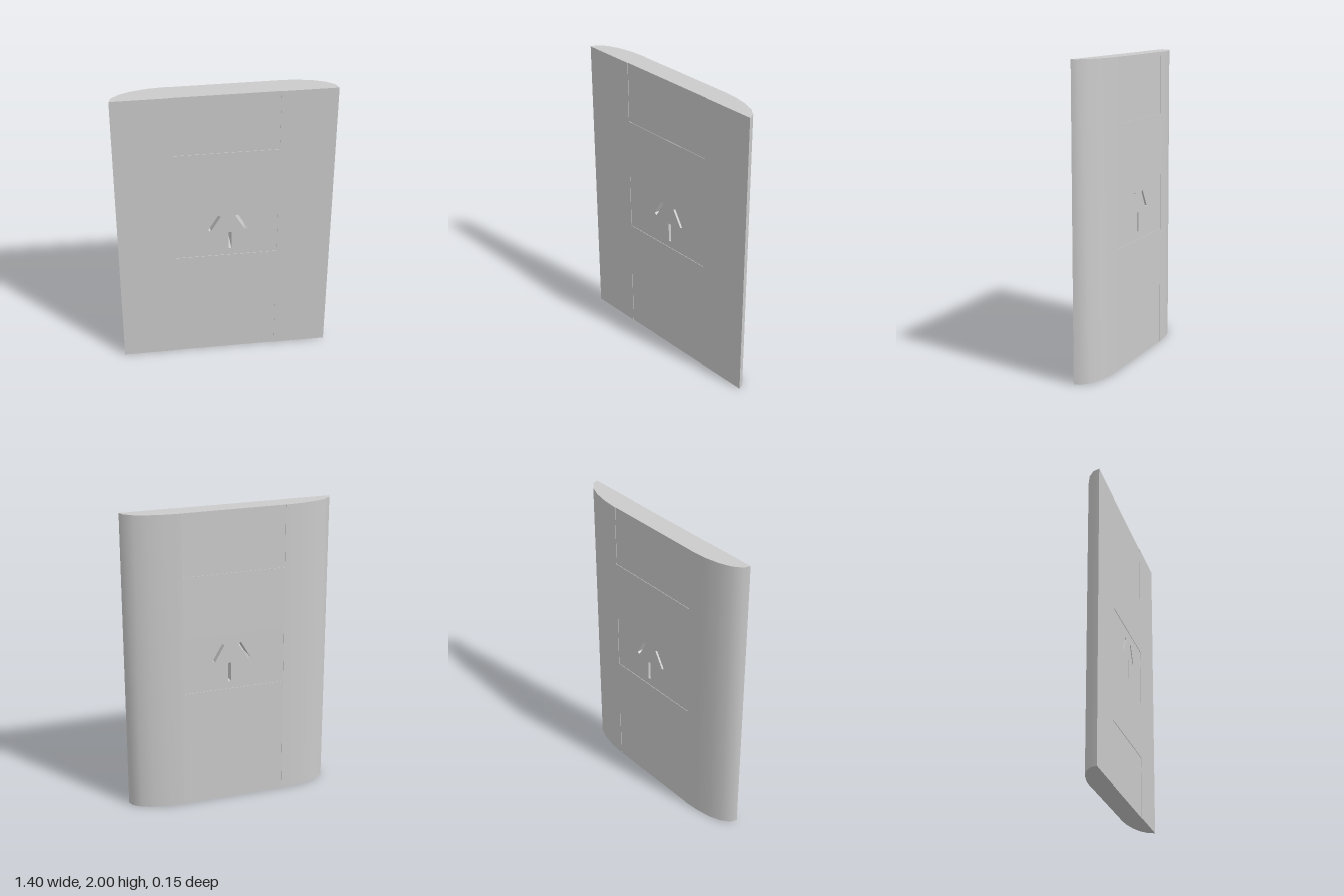
import * as THREE from 'three';
import { toCreasedNormals } from 'three/addons/utils/BufferGeometryUtils.js';

const HEIGHT = 2, HALF = 0.345, FRONT = 0.067, BACK = -0.075;
const material = new THREE.MeshStandardMaterial({ color: 0xcccccc, side: THREE.DoubleSide });

// Rounded side rail: [x, z] cross-section extruded up the full height
function sideRail(sign, name) {
  const profile = [
    [HALF, FRONT], [0.7, FRONT], [0.685, 0.025], [0.632, -0.017],
    [0.555, -0.047], [0.455, -0.067], [HALF, BACK],
  ];
  const shape = new THREE.Shape(profile.map(([x, z]) => new THREE.Vector2(sign * x, -z)));
  const geo = new THREE.ExtrudeGeometry(shape, { depth: HEIGHT, bevelEnabled: false });
  geo.rotateX(-Math.PI / 2);
  const mesh = new THREE.Mesh(toCreasedNormals(geo, 0.6), material);
  mesh.name = name;
  return mesh;
}

// Narrow rectangular slot as a hole path
function slot(cx, cy, length, angle) {
  const w = 0.01, h = length / 2, c = Math.cos(angle), s = Math.sin(angle);
  return new THREE.Path([[-w, -h], [-w, h], [w, h], [w, -h]].map(
    ([x, y]) => new THREE.Vector2(cx + x * c - y * s, cy + x * s + y * c)));
}

// Flat middle panel between two heights, set back on both faces by inset
function panel(y0, y1, inset, name, holes = []) {
  const shape = new THREE.Shape([
    new THREE.Vector2(-HALF, y0), new THREE.Vector2(HALF, y0),
    new THREE.Vector2(HALF, y1), new THREE.Vector2(-HALF, y1),
  ]);
  shape.holes.push(...holes);
  const geo = new THREE.ExtrudeGeometry(shape, { depth: FRONT - BACK - 2 * inset, bevelEnabled: false });
  geo.translate(0, 0, BACK + inset);
  const mesh = new THREE.Mesh(geo, material);
  mesh.name = name;
  return mesh;
}

export function createModel() {
  const group = new THREE.Group();
  group.name = 'socketPlate';
  group.add(sideRail(1, 'leftRail'), sideRail(-1, 'rightRail'));

  // Three pin slots passing right through the middle panel
  const slots = [
    slot(-0.07, 1.055, 0.13, -Math.PI / 6),
    slot(0.107, 1.055, 0.13, Math.PI / 6),
    slot(0.032, 0.915, 0.13, 0),
  ];

  // Stack of panels, alternately recessed and flush
  const edges = [0, 0.41, 0.8, 1.18, 1.59, HEIGHT];
  const names = ['bottomPanel', 'lowerPanel', 'socketPanel', 'upperPanel', 'topPanel'];
  names.forEach((name, i) => {
    group.add(panel(edges[i], edges[i + 1], i % 2 ? 0 : 0.003, name, i === 2 ? slots : []));
  });

  // Slight turn of the whole plate
  group.rotation.y = -0.005;
  return group;
}
